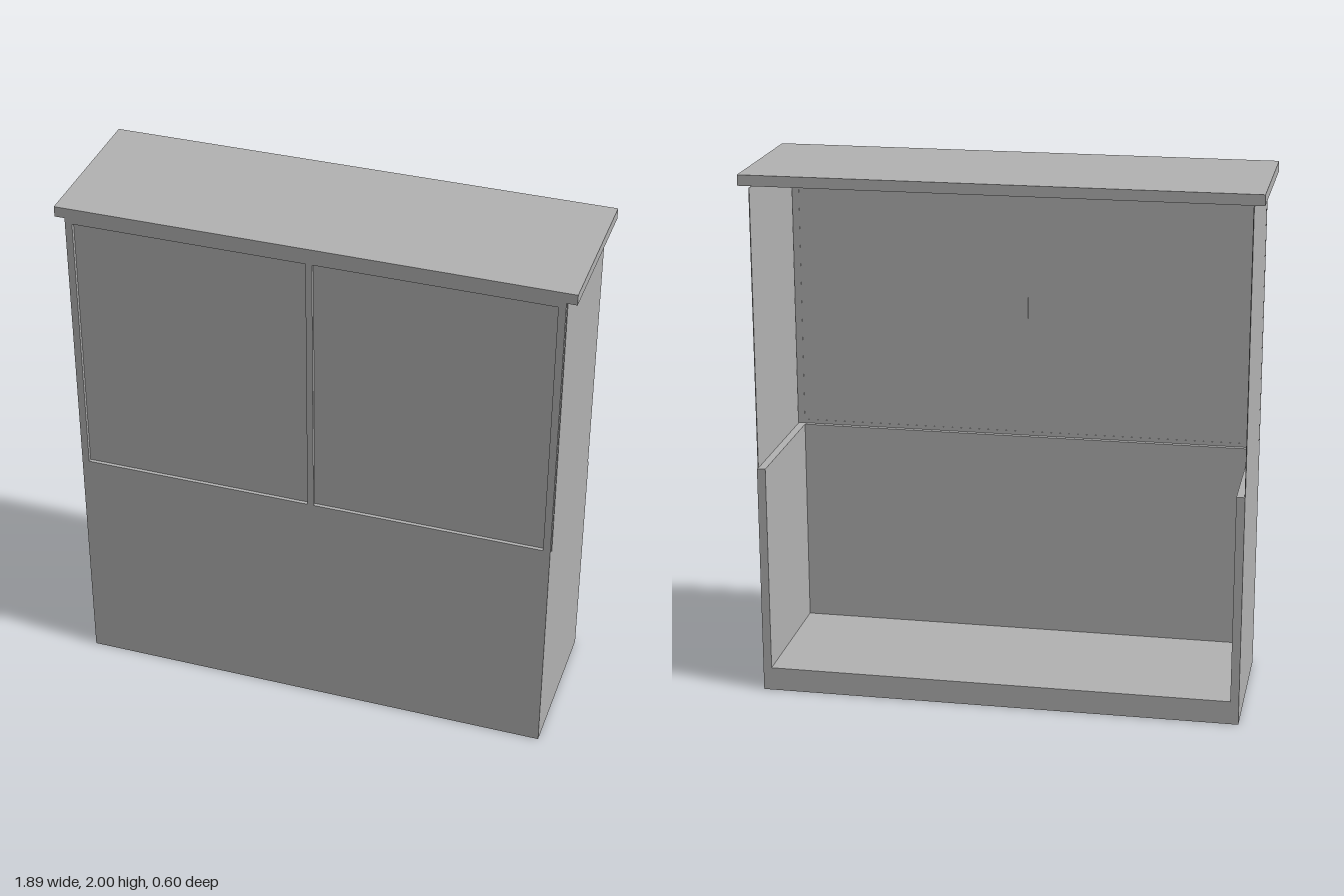
import * as THREE from 'three';

export function createModel() {
  const model = new THREE.Group();
  model.name = 'cabinet';
  const grey = new THREE.MeshStandardMaterial({ color: 0xb2b2b2 });
  grey.name = 'plain grey';

  // Box given by its two extremes on each axis
  function box(name, [x0, x1], [y0, y1], [z0, z1]) {
    const mesh = new THREE.Mesh(new THREE.BoxGeometry(x1 - x0, y1 - y0, z1 - z0), grey);
    mesh.position.set((x0 + x1) / 2, (y0 + y1) / 2, (z0 + z1) / 2);
    mesh.name = name;
    model.add(mesh);
  }

  const W = 0.909, D = 0.302, wall = 0.032;
  const floorTop = 0.09, ledge = 0.89, lidBottom = 1.96;

  // Lower carcass, open at the back
  box('floor', [-W, W], [0, floorTop], [-D, D]);
  box('lowerFront', [-W, W], [floorTop, ledge], [D - 0.036, D]);
  for (const s of [-1, 1]) {
    const span = (a, b) => [Math.min(s * a, s * b), Math.max(s * a, s * b)];
    box('lowerSide', span(W - wall, W), [floorTop, ledge], [-D, D - 0.036]);
    // Thin upper side, with a slit in front of it and above it
    box('upperSide', span(W - 0.003, W), [ledge, 1.951], [-0.292, 0.276]);
    // Recessed door pane
    box('doorPane', span(0.012, 0.882), [0.905, 1.94], [0.285, 0.288]);
  }

  // Front frame with two openings
  const frame = new THREE.Shape();
  frame.moveTo(-W, ledge).lineTo(W, ledge).lineTo(W, lidBottom).lineTo(-W, lidBottom).closePath();
  for (const [a, b] of [[-0.882, -0.012], [0.012, 0.882]]) {
    const hole = new THREE.Path();
    hole.moveTo(a, 0.905).lineTo(a, 1.94).lineTo(b, 1.94).lineTo(b, 0.905).closePath();
    frame.holes.push(hole);
  }
  const frameMesh = new THREE.Mesh(
    new THREE.ExtrudeGeometry(frame, { depth: D - 0.284, bevelEnabled: false }), grey);
  frameMesh.position.z = 0.284;
  frameMesh.name = 'frontFrame';
  model.add(frameMesh);

  // Overhanging top
  box('topBoard', [-0.947, 0.947], [lidBottom, 2], [-D, D]);
  return model;
}
